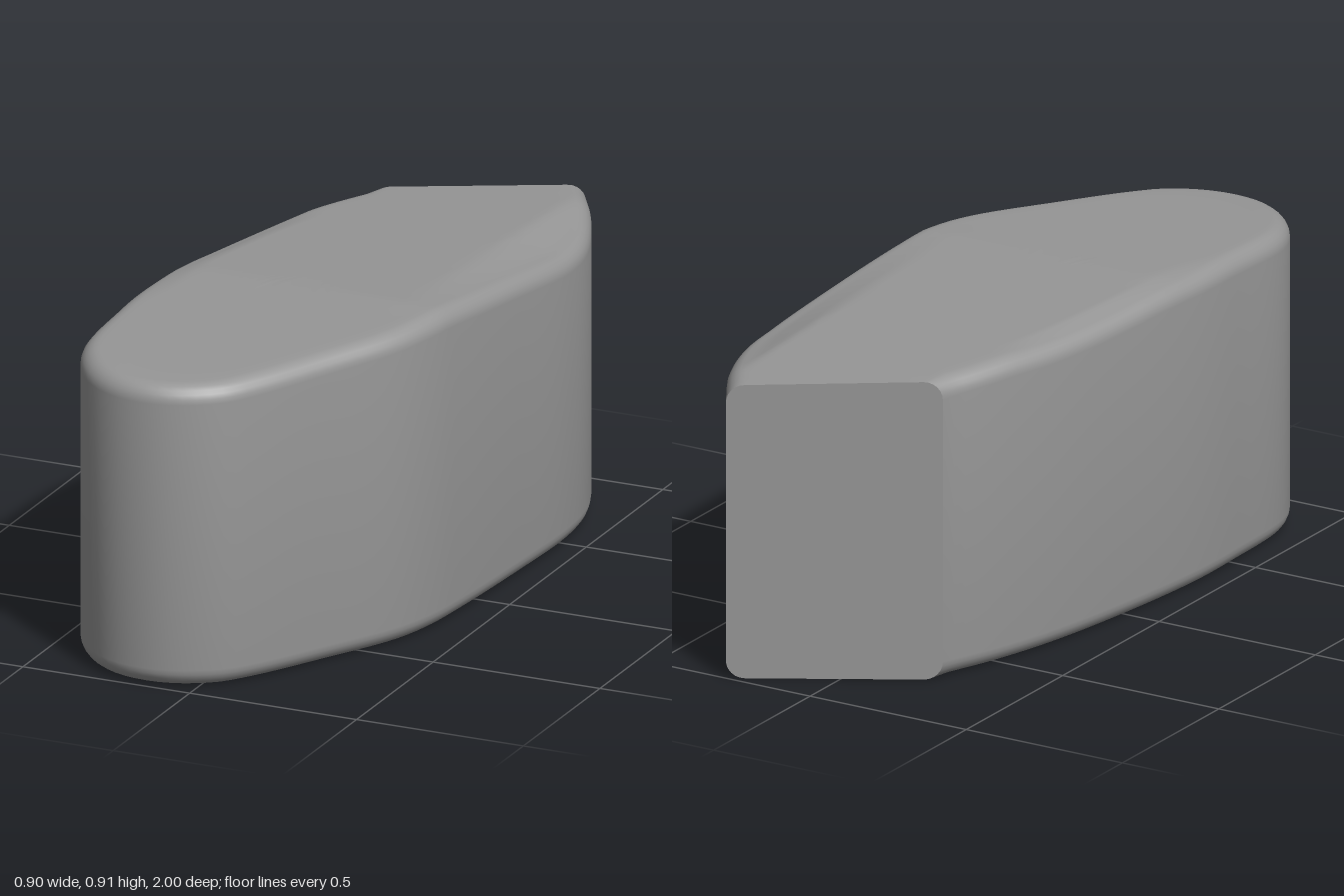
import * as THREE from 'three';
import { mergeVertices, toCreasedNormals } from 'three/addons/utils/BufferGeometryUtils.js';

// Plan outline (x, z) from the back +x corner, round the front, to the back -x corner
const PLAN = [
  [0.27, -1], [0.36, -0.84], [0.43, -0.66], [0.45, -0.5], [0.44, -0.2], [0.42, 0.1],
  [0.4, 0.27], [0.36, 0.41], [0.25, 0.62], [0.13, 0.83], [0.06, 0.92], [-0.04, 0.98], [-0.14, 1],
  [-0.25, 0.98], [-0.35, 0.91], [-0.43, 0.77], [-0.45, 0.5], [-0.45, 0.3], [-0.42, 0],
  [-0.37, -0.3], [-0.31, -0.52], [-0.24, -0.7],
];
const SIDE = 110, BACK = 10, BEVEL = 0.052, STEPS = 6, TOP_RINGS = 16;

// Gently ridged top with facets falling away towards both long sides
function topHeight(x, z) {
  const leftCrease = -0.36 + Math.max(0, 0.1 - z) * 0.15;
  const rightRamp = THREE.MathUtils.clamp((0.3 - z) / 0.8, 0, 1);
  const leftRamp = THREE.MathUtils.smoothstep(-z, -0.5, 0);
  return 0.91 - 0.05 * Math.abs(z - 0.2)
    - 0.36 * rightRamp * Math.max(0, x - 0.29)
    - 0.5 * leftRamp * Math.max(0, leftCrease - x);
}

// Outline samples, each with the direction in which its edge rounds over
function outline() {
  const curve = new THREE.CatmullRomCurve3(PLAN.map(([x, z]) => new THREE.Vector3(x, 0, z)), false, 'centripetal');
  const start = curve.getPointAt(0), end = curve.getPointAt(1);
  const along = end.clone().sub(start).normalize();
  const points = [];
  for (let i = 0; i <= SIDE; i++) {
    const tan = curve.getTangentAt(i / SIDE);
    let inward = new THREE.Vector3(-tan.z, 0, tan.x);
    if (i === 0) inward = along.clone();
    if (i === SIDE) inward = along.clone().negate();
    points.push({ p: curve.getPointAt(i / SIDE), inward });
  }
  // straight back wall, its corners sliding along the wall where they round over
  for (let i = 1; i < BACK; i++) {
    const f = i / BACK;
    points.push({ p: end.clone().lerp(start, f), inward: along.clone().multiplyScalar(2 * f - 1) });
  }
  return points;
}

function bodyGeometry() {
  const base = outline(), n = base.length, rings = [];
  const inset = (o, d) => o.p.clone().addScaledVector(o.inward, BEVEL * d);

  // underside and its rounded edge
  for (const s of [0, 0.5]) rings.push(base.map(o => inset(o, 1).multiplyScalar(s)));
  for (let k = 0; k <= STEPS; k++) {
    const a = (k / STEPS) * Math.PI / 2;
    rings.push(base.map(o => inset(o, 1 - Math.sin(a)).setY(BEVEL * (1 - Math.cos(a)))));
  }
  // upper rounded edge
  for (let k = 0; k <= STEPS; k++) {
    const a = (k / STEPS) * Math.PI / 2;
    rings.push(base.map(o => {
      const top = inset(o, 1);
      return inset(o, 1 - Math.cos(a)).setY(topHeight(top.x, top.z) - BEVEL * (1 - Math.sin(a)));
    }));
  }
  // top surface, in shrinking rings
  for (let k = TOP_RINGS - 1; k >= 0; k--) {
    rings.push(base.map(o => {
      const v = inset(o, 1).multiplyScalar(k / TOP_RINGS);
      return v.setY(topHeight(v.x, v.z));
    }));
  }

  // first and last rings are single points, so they get one triangle per side
  const position = rings.flat().flatMap(v => [v.x, v.y, v.z]), index = [];
  for (let j = 0; j < rings.length - 1; j++) {
    for (let i = 0; i < n; i++) {
      const a = j * n + i, b = j * n + (i + 1) % n, c = b + n, d = a + n;
      if (j < rings.length - 2) index.push(a, d, c);
      if (j > 0) index.push(a, c, b);
    }
  }
  const geometry = new THREE.BufferGeometry();
  geometry.setAttribute('position', new THREE.Float32BufferAttribute(position, 3));
  geometry.setIndex(index);
  return toCreasedNormals(mergeVertices(geometry, 1e-5), THREE.MathUtils.degToRad(32));
}

export function createModel() {
  const model = new THREE.Group();
  model.name = 'roundedBlock';
  const body = new THREE.Mesh(bodyGeometry(), new THREE.MeshStandardMaterial({ color: 0x969696 }));
  body.name = 'body';
  model.add(body);
  return model;
}
